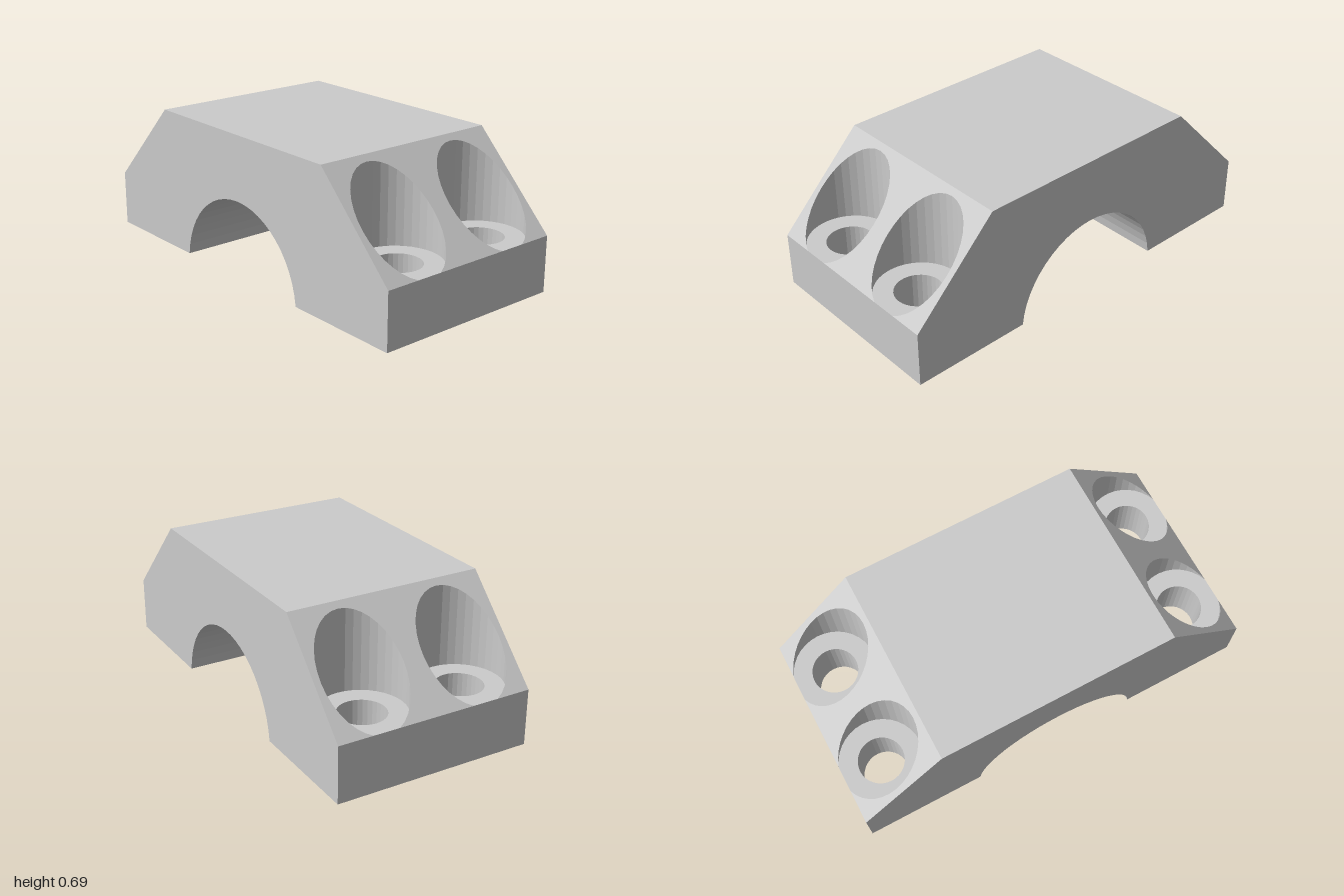
import * as THREE from 'three';

const W = 1, TOP = 0.69, SIDE = 0.27, TOPX = 0.585, D = 0.48;   // block outline
const ARCH_R = 0.417, ARCH_Y = -0.042;                          // saddle arch
const HOLE_X = 0.81, HOLE_Z = [-0.25, 0.25], BORE_R = 0.2, HOLE_R = 0.11;

const material = new THREE.MeshStandardMaterial({ color: 0xcccccc, flatShading: true });
const slopeY = x => SIDE + (W - x) * (TOP - SIDE) / (W - TOPX);

// Points along an arc, in 2D
function arc(cx, cy, r, from, to, n) {
  return Array.from({ length: n + 1 }, (_, i) => {
    const a = from + (to - from) * i / n;
    return new THREE.Vector2(cx + r * Math.cos(a), cy + r * Math.sin(a));
  });
}

// Quad strip between two polylines of Vector3
function strip(a, b) {
  const pts = [];
  for (let i = 0; i < a.length - 1; i++) pts.push(a[i], a[i + 1], b[i + 1], a[i], b[i + 1], b[i]);
  const g = new THREE.BufferGeometry().setFromPoints(pts);
  g.computeVertexNormals();
  return g;
}

// Flat plan shape laid at a height given by x, facing up or down
function plan(shape, height, up = true) {
  const g = new THREE.ShapeGeometry(shape, 16);
  g.rotateX(up ? -Math.PI / 2 : Math.PI / 2);
  const p = g.attributes.position;
  for (let i = 0; i < p.count; i++) p.setY(i, height(p.getX(i)));
  g.computeVertexNormals();
  return g;
}

function add(group, name, geometry) {
  const mesh = new THREE.Mesh(geometry, material);
  mesh.name = name;
  group.add(mesh);
  return mesh;
}

function circlePath(x, z) {
  return new THREE.Path().absarc(x, z, HOLE_R, 0, Math.PI * 2, true);
}

// One bolted end: slope, foot, end wall, counterbores and bolt holes
function createEnd() {
  const end = new THREE.Group();
  const open = Math.acos((W - HOLE_X) / BORE_R);   // bore breaks through the end edge
  const bore = z => arc(HOLE_X, z, BORE_R, open, Math.PI * 2 - open, 32);
  const v = (x, y) => new THREE.Vector2(x, y);

  const slope = new THREE.Shape([
    v(TOPX, -D), v(W, -D), ...HOLE_Z.flatMap(z => bore(z).reverse()), v(W, D), v(TOPX, D)]);
  add(end, 'slope', plan(slope, slopeY));

  const footX = Math.sqrt(ARCH_R ** 2 - ARCH_Y ** 2);
  const foot = new THREE.Shape([v(footX, -D), v(W, -D), v(W, D), v(footX, D)]);
  foot.holes = HOLE_Z.map(z => circlePath(HOLE_X, z));
  add(end, 'foot', plan(foot, () => 0, false));

  add(end, 'endWall', strip(
    [new THREE.Vector3(W, SIDE, D), new THREE.Vector3(W, 0, D)],
    [new THREE.Vector3(W, SIDE, -D), new THREE.Vector3(W, 0, -D)]));

  // Inward-facing wall from the seat up to the given height
  const wall = (pts, y0, y1) => strip(
    pts.map(p => new THREE.Vector3(p.x, y0, p.y)),
    pts.map(p => new THREE.Vector3(p.x, y1(p.x), p.y)));

  for (const z of HOLE_Z) {
    const seat = new THREE.Shape(bore(z));
    seat.holes = [circlePath(HOLE_X, z)];
    add(end, 'counterboreSeat', plan(seat, () => SIDE));
    add(end, 'counterboreWall', wall(bore(z), SIDE, slopeY));
    add(end, 'boltHole', wall(arc(HOLE_X, z, HOLE_R, 0, Math.PI * 2, 32), 0, () => SIDE));
  }
  return end;
}

export function createModel() {
  const model = new THREE.Group();
  model.name = 'saddleClamp';

  // Arch runs from right to left over the opening
  const a0 = Math.asin(-ARCH_Y / ARCH_R);
  const arch = arc(0, ARCH_Y, ARCH_R, a0, Math.PI - a0, 24);
  const along = (pts, z) => pts.map(p => new THREE.Vector3(p.x, p.y, z));
  add(model, 'arch', strip(along(arch, D), along(arch, -D)));

  const top = [new THREE.Vector2(-TOPX, TOP), new THREE.Vector2(TOPX, TOP)];
  add(model, 'topFace', strip(along(top, D), along(top, -D)));

  // Front and back faces
  const profile = new THREE.Shape([
    new THREE.Vector2(-W, 0), new THREE.Vector2(-W, SIDE), ...top,
    new THREE.Vector2(W, SIDE), new THREE.Vector2(W, 0), ...arch]);
  const face = new THREE.ShapeGeometry(profile).translate(0, 0, D);
  add(model, 'frontFace', face);
  add(model, 'backFace', face).rotation.y = Math.PI;

  // Two identical ends
  ['leftEnd', 'rightEnd'].forEach((name, i) => {
    const end = createEnd();
    end.name = name;
    end.rotation.y = i * Math.PI;
    model.add(end);
  });
  return model;
}
